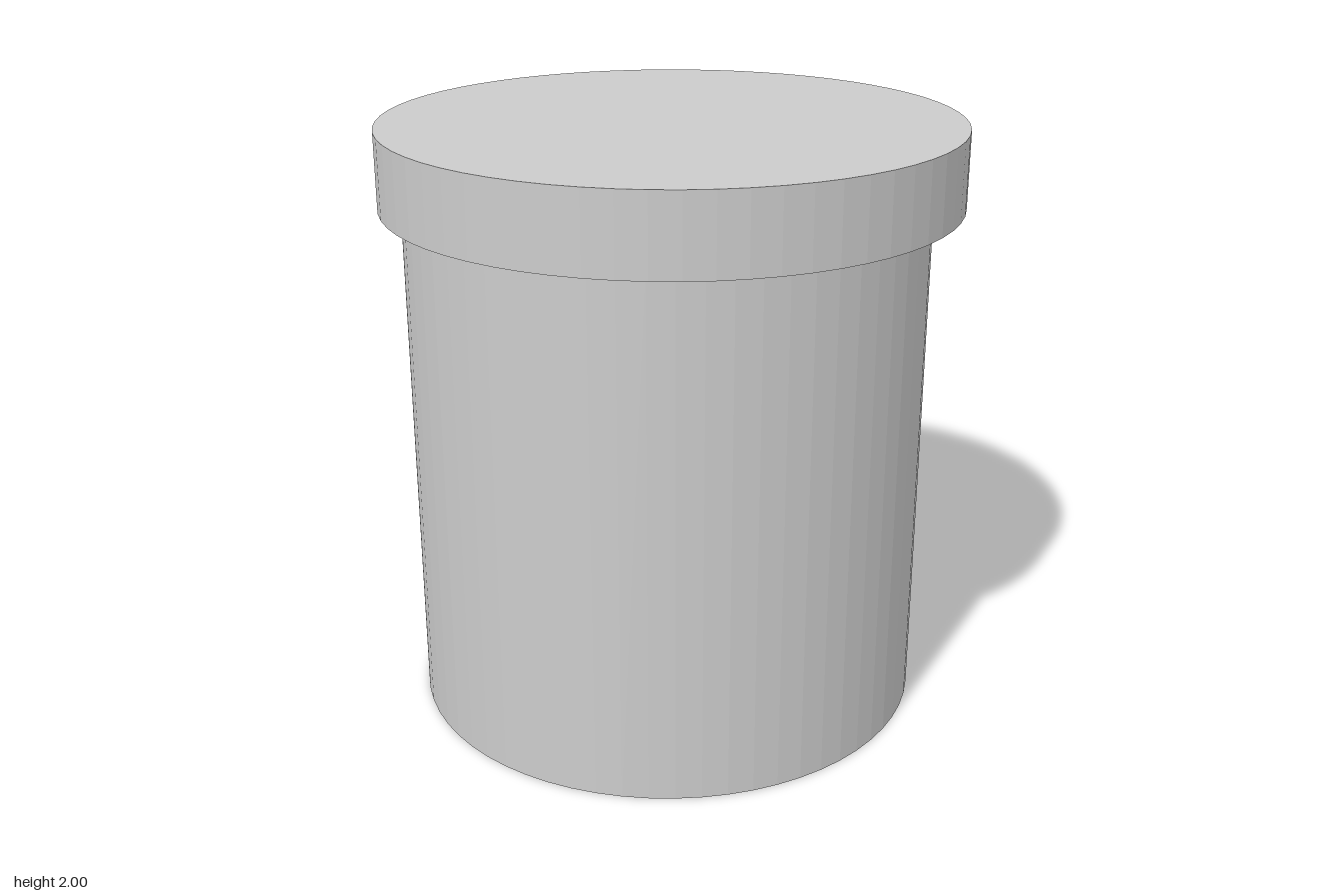
import * as THREE from 'three';

const SIDES = 64;
const HEIGHT = 2;
const LID_BOTTOM = 1.743;

export function createModel() {
  const model = new THREE.Group();
  model.name = 'liddedCanister';
  const material = new THREE.MeshStandardMaterial({ color: 0xcccccc, flatShading: true });

  // Upright solid disc spanning bottom..top
  const addDrum = (name, radius, bottom, top, x) => {
    const geometry = new THREE.CylinderGeometry(radius, radius, top - bottom, SIDES);
    const mesh = new THREE.Mesh(geometry, material);
    mesh.name = name;
    mesh.position.set(x, (bottom + top) / 2, 0);
    model.add(mesh);
  };

  // Body sits slightly off the lid's axis
  addDrum('body', 0.868, 0, LID_BOTTOM, -0.021);
  // Wider overhanging lid
  addDrum('lid', 0.954, LID_BOTTOM, HEIGHT, 0);

  return model;
}
